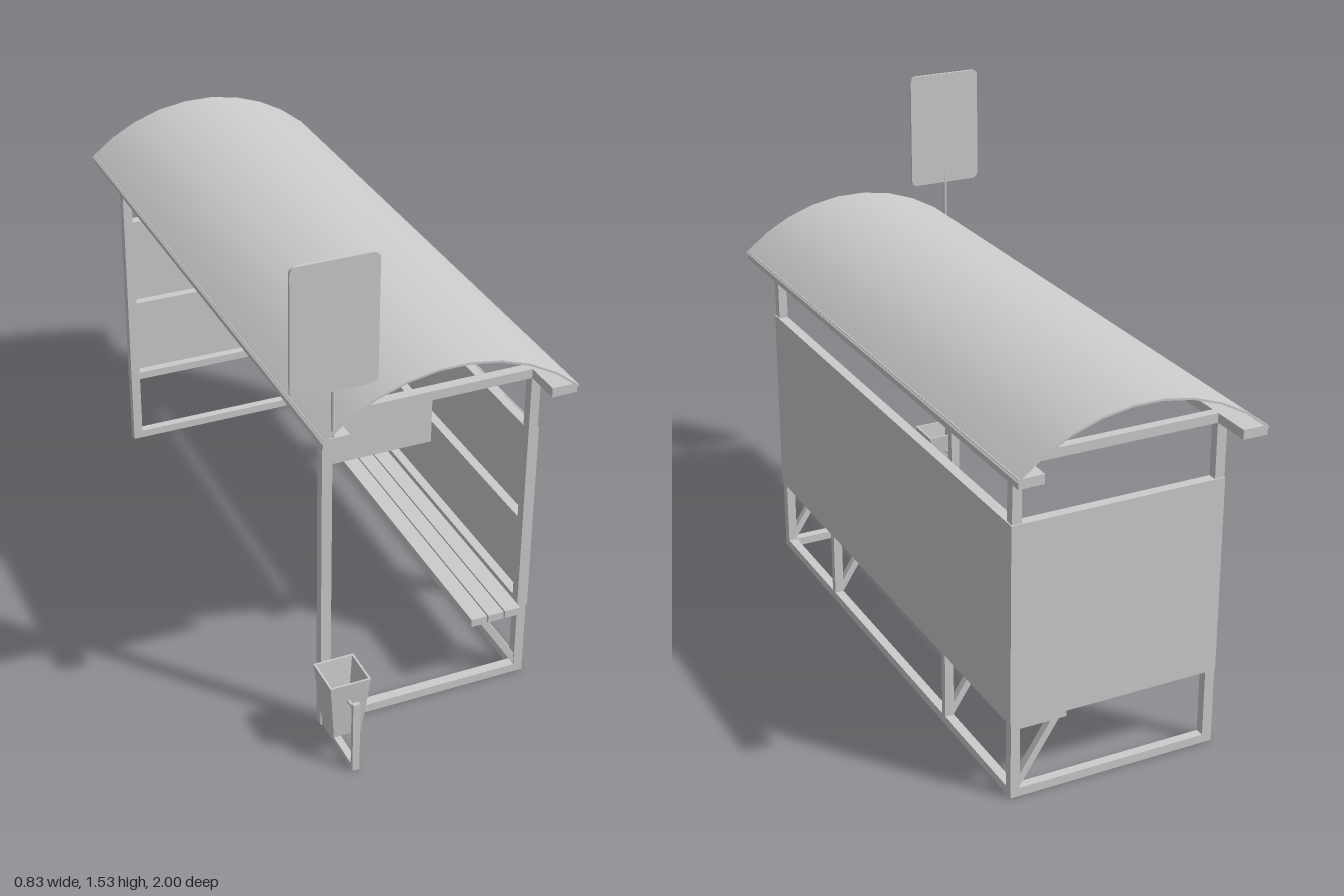
import * as THREE from 'three';
import { toCreasedNormals } from 'three/addons/utils/BufferGeometryUtils.js';

const grey = new THREE.MeshStandardMaterial({ color: 0xcccccc, side: THREE.DoubleSide });
const flat = new THREE.MeshStandardMaterial({ color: 0xcccccc, side: THREE.DoubleSide, flatShading: true });

export function createModel() {
  const model = new THREE.Group();
  const add = (name, geometry, material = grey) => {
    const mesh = new THREE.Mesh(geometry, material);
    mesh.name = name;
    model.add(mesh);
    return mesh;
  };
  // Box given by its extents on each axis
  const box = (name, x0, x1, y0, y1, z0, z1) => {
    const mesh = add(name, new THREE.BoxGeometry(x1 - x0, y1 - y0, z1 - z0));
    mesh.position.set((x0 + x1) / 2, (y0 + y1) / 2, (z0 + z1) / 2);
    return mesh;
  };

  // Main frame lines: open side, wall side, and the two ends
  const openX = [-0.285, -0.255], wallX = [0.33, 0.358];
  const nearZ = [0.76, 0.79], farZ = [-0.878, -0.85];

  // Corner posts, ground rails and top cross beams
  for (const z of [nearZ, farZ]) {
    box('openSidePost', ...openX, 0, 1.0, ...z);
    box('wallSidePost', ...wallX, 0, 1.0, ...z);
    box('groundCrossRail', openX[1], wallX[0], 0, 0.026, ...z);
    box('topCrossBeam', openX[1], wallX[0], 1.0, 1.028, ...z);
  }
  box('groundLongRail', ...wallX, 0, 0.026, farZ[1], nearZ[0]);

  // Eave beams under the roof edges
  box('openSideEaveBeam', -0.33, -0.255, 1.0, 1.028, -1, 0.9);
  box('wallSideEaveBeam', 0.33, 0.405, 1.0, 1.028, -1, 0.9);

  // Panel rails between the posts, on the long wall and the far end
  for (const y of [0.235, 0.505, 0.808]) {
    box('longPanelRail', ...wallX, y, y + 0.026, farZ[1], nearZ[0]);
    box('endPanelRail', openX[1], wallX[0], y, y + 0.026, ...farZ);
  }
  box('longWallPanel', 0.358, 0.362, 0.235, 0.835, -0.882, 0.79);
  box('endWallPanel', -0.285, 0.36, 0.235, 0.835, -0.882, -0.878);

  // Short wall studs
  for (const z of [0.365, -0.455]) box('wallStud', ...wallX, 0.026, 0.235, z - 0.011, z + 0.011);

  // Bench brackets: horizontal arm and diagonal brace
  const brace = new THREE.Shape([[0.21, 0.213], [0.235, 0.213], [0.335, 0.058], [0.335, 0.02]]
    .map(p => new THREE.Vector2(...p)));
  for (const z of [0.775, 0.365, -0.455, -0.864]) {
    box('benchArm', 0.187, 0.335, 0.213, 0.236, z - 0.011, z + 0.011);
    add('benchBrace', new THREE.ExtrudeGeometry(brace, { depth: 0.022, bevelEnabled: false }))
      .position.z = z - 0.011;
  }
  // Bench slats
  for (let i = 0; i < 3; i++) {
    const x = 0.165 + i * 0.053;
    box('benchSlat', x, x + 0.049, 0.236, 0.26, -0.85, 0.825);
  }

  // Arched sheet between two radii, extruded along z
  const half = 0.743, steps = 9;
  const arch = (name, rOut, rIn, z0, z1) => {
    const arc = r => Array.from({ length: steps + 1 }, (_, i) => {
      const a = half * (2 * i / steps - 1);
      return new THREE.Vector2(0.037 + r * Math.sin(a), 0.616 + r * Math.cos(a));
    });
    const shape = new THREE.Shape([...arc(rOut), ...arc(rIn).reverse()]);
    const geo = new THREE.ExtrudeGeometry(shape, { depth: z1 - z0, bevelEnabled: false });
    add(name, toCreasedNormals(geo, 0.5)).position.z = z0;
  };
  arch('roofSheet', 0.551, 0.545, -1, 0.903);
  for (const z of [0.775, -0.045, -0.865]) arch('roofRib', 0.546, 0.537, z - 0.012, z + 0.012);

  // Sign board with rounded corners on a thin pole
  const [l, r, b, t, c] = [-0.42, -0.178, 1.165, 1.535, 0.02];
  const board = new THREE.Shape();
  board.absarc(r - c, t - c, c, 0, Math.PI / 2);
  board.absarc(l + c, t - c, c, Math.PI / 2, Math.PI);
  board.absarc(l + c, b + c, c, Math.PI, Math.PI * 1.5);
  board.absarc(r - c, b + c, c, Math.PI * 1.5, Math.PI * 2);
  add('signBoard', new THREE.ExtrudeGeometry(board, { depth: 0.009, bevelEnabled: false, curveSegments: 5 }))
    .position.z = 0.889;
  add('signPole', new THREE.CylinderGeometry(0.005, 0.005, 0.2, 10)).position.set(-0.3, 1.1, 0.893);

  // Small board hanging under the near cross beam
  box('hangingBoard', -0.255, 0.037, 0.865, 1.0, 0.77, 0.78);

  // Tapered square waste bin, hollow
  const profile = [[0, 0.072], [0.041, 0.072], [0.06, 0.26], [0.054, 0.26], [0.036, 0.078], [0, 0.078]]
    .map(([h, y]) => new THREE.Vector2(h * Math.SQRT2, y));
  add('wasteBin', new THREE.LatheGeometry(profile, 4, Math.PI / 4), flat).position.set(-0.265, 0, 0.89);

  // Bin stand: foot rail, upright and pivot pins
  box('binFootRail', -0.28, -0.259, 0.003, 0.018, 0.79, 0.99);
  box('binUpright', -0.28, -0.259, 0, 0.228, 0.988, 1.0);
  for (const [z0, z1] of [[0.79, 0.838], [0.942, 0.99]]) {
    const pin = add('binPivotPin', new THREE.CylinderGeometry(0.005, 0.005, z1 - z0, 10));
    pin.rotation.x = Math.PI / 2;
    pin.position.set(-0.269, 0.2, (z0 + z1) / 2);
  }
  return model;
}
